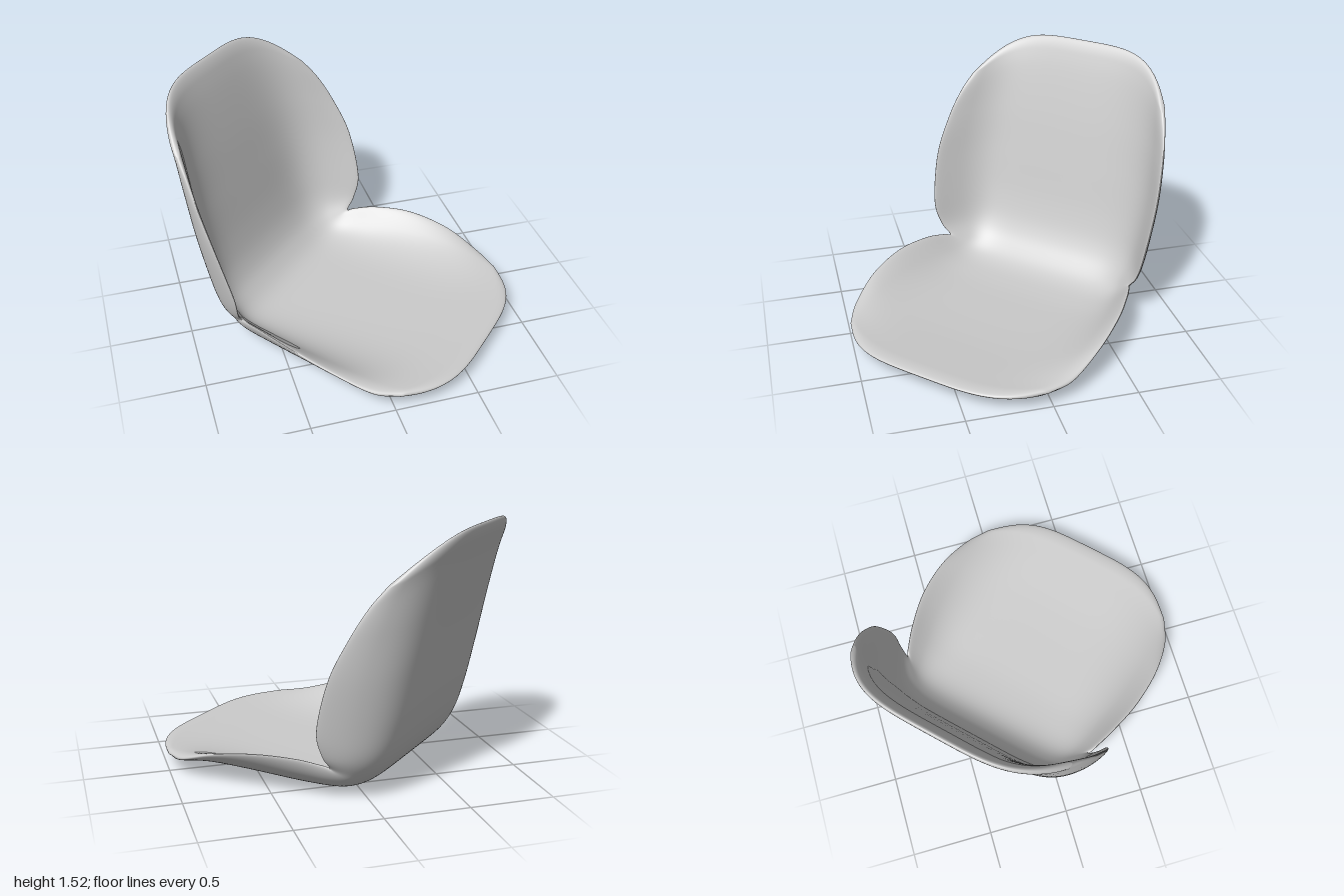
import * as THREE from 'three';
import { mergeVertices } from 'three/addons/utils/BufferGeometryUtils.js';

// Stations from the front lip, along the seat, up to the top of the back:
// [centre forward, centre y, rim half width, rim forward, rim y, curl power]
const STATIONS = [
  [0.96, 0.1, 0.68, 0.72, 0.09, 3.8],
  [0.75, 0.078, 0.762, 0.575, 0.12, 3.8],
  [0.45, 0.05, 0.803, 0.33, 0.205, 4],
  [0.1, 0.032, 0.79, 0.06, 0.253, 4.6],
  [-0.2, 0.026, 0.735, -0.17, 0.25, 5.6],
  [-0.4, 0.05, 0.685, -0.31, 0.222, 6.6],
  [-0.53, 0.135, 0.665, -0.354, 0.21, 6.8],
  [-0.615, 0.26, 0.72, -0.335, 0.29, 6.4],
  [-0.68, 0.45, 0.764, -0.325, 0.45, 5.8],
  [-0.75, 0.75, 0.787, -0.41, 0.75, 5.2],
  [-0.82, 1.05, 0.764, -0.52, 0.98, 4.6],
  [-0.895, 1.33, 0.725, -0.61, 1.14, 4.1],
  [-0.96, 1.52, 0.68, -0.69, 1.25, 4],
];
const THICKNESS = 0.045;
const ROWS = 120, COLS = 80;

const spline = (pick) => new THREE.CatmullRomCurve3(
  STATIONS.map((s) => new THREE.Vector3(...pick(s))), false, 'catmullrom', 0.5);
const centreLine = spline(([f, y, , , , k]) => [k, y, f]);
const rimLine = spline(([, , s, f, y]) => [s, y, f]);

// Mid-surface: flat in the middle, curling towards the rim
function surface(t, a) {
  const c = centreLine.getPoint(t), r = rimLine.getPoint(t);
  const curl = Math.pow(Math.abs(a), c.x);
  return new THREE.Vector3(r.x * a, c.y + (r.y - c.y) * curl, c.z + (r.z - c.z) * curl);
}

function surfaceNormal(t, a) {
  const e = 0.002, lim = THREE.MathUtils.clamp;
  const da = surface(t, lim(a + e, -1, 1)).sub(surface(t, lim(a - e, -1, 1)));
  const dt = surface(lim(t + e, 0, 1), a).sub(surface(lim(t - e, 0, 1), a));
  return da.cross(dt).normalize();
}

// Half thickness, tapering off to nothing at the rim
function halfThickness(t, a) {
  const d = Math.min(1, (1 - Math.abs(a)) / 0.12, t / 0.04, (1 - t) / 0.04);
  return (THICKNESS / 2) * Math.sqrt(Math.max(0, 1 - (1 - d) ** 2));
}

function shellGeometry() {
  const positions = [], index = [];
  // Inner sheet (side 1) and outer sheet (side -1) meet along the rim
  for (const side of [1, -1]) {
    const base = positions.length / 3;
    for (let i = 0; i <= ROWS; i++) {
      const t = (1 - Math.cos(Math.PI * i / ROWS)) / 2;
      for (let j = 0; j <= COLS; j++) {
        const a = Math.sin(Math.PI * (j / COLS - 0.5));
        const p = surface(t, a).addScaledVector(surfaceNormal(t, a), side * halfThickness(t, a));
        positions.push(p.x, p.y, p.z);
        if (i === ROWS || j === COLS) continue;
        const v = base + i * (COLS + 1) + j, w = v + COLS + 1;
        if (side > 0) index.push(v, v + 1, w, v + 1, w + 1, w);
        else index.push(v, w, v + 1, v + 1, w, w + 1);
      }
    }
  }
  const g = new THREE.BufferGeometry();
  g.setAttribute('position', new THREE.Float32BufferAttribute(positions, 3));
  g.setIndex(index);
  const merged = mergeVertices(g, 1e-5);
  merged.computeVertexNormals();
  return merged;
}

export function createModel() {
  const model = new THREE.Group();
  model.name = 'chairShell';
  const shell = new THREE.Mesh(shellGeometry(), new THREE.MeshStandardMaterial({ color: 0xcccccc }));
  shell.name = 'seatAndBackShell';
  // The shell faces diagonally, between +x and +z
  shell.rotation.y = Math.PI / 4;
  model.add(shell);
  return model;
}
